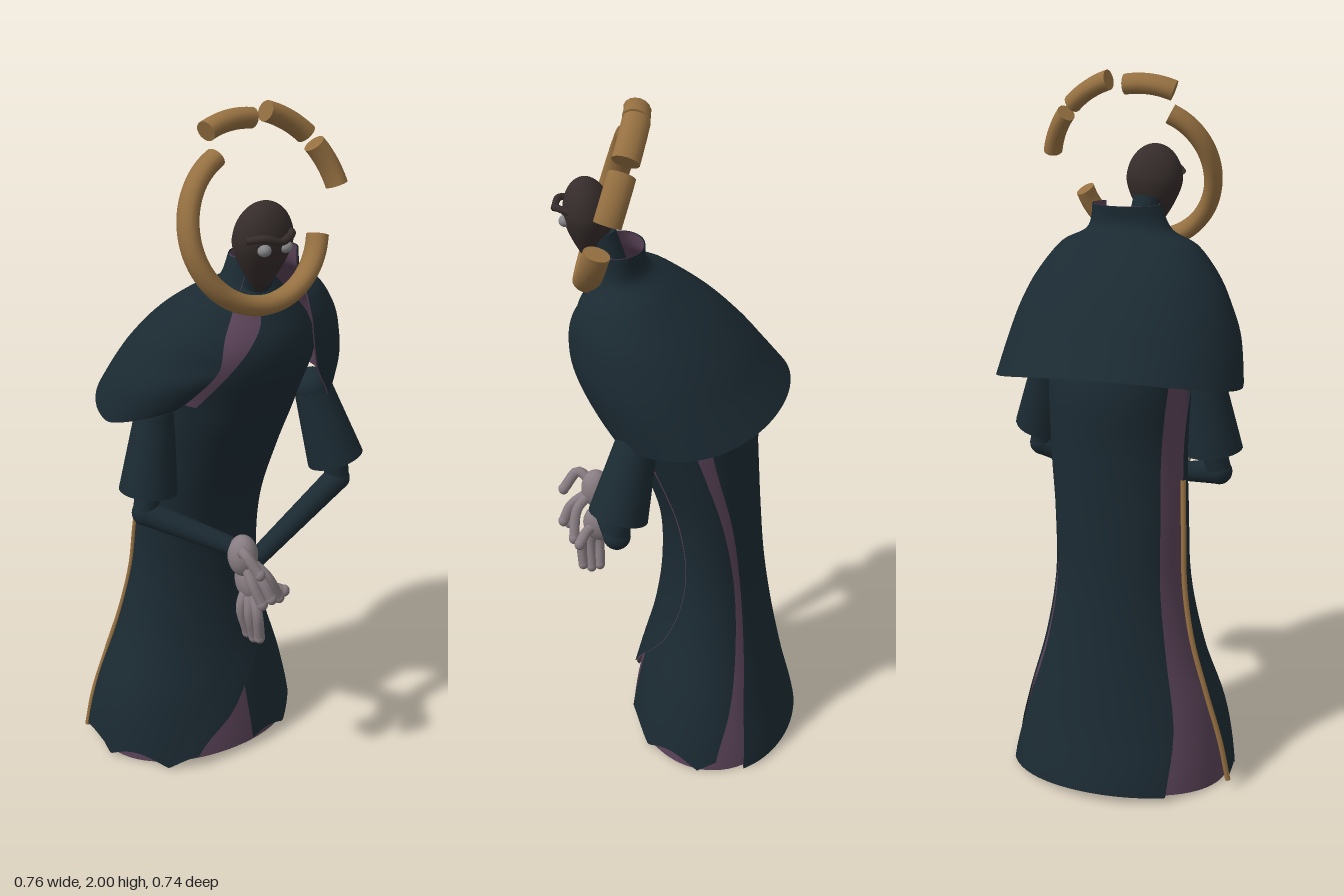
import * as THREE from 'three';

const mat = (name, color, side = THREE.DoubleSide) => {
  const m = new THREE.MeshStandardMaterial({ color, side });
  m.name = name;
  return m;
};
const V = (a) => new THREE.Vector3(...a);
const rad = THREE.MathUtils.degToRad;
const lerp = THREE.MathUtils.lerp;

// smooth interpolation through the rows of a small table
function sample(rows, t) {
  const n = rows.length - 1, i = Math.min(Math.max(Math.floor(t), 0), n - 1), f = t - i;
  const [a, b, c, d] = [i - 1, i, i + 1, i + 2].map((k) => rows[Math.min(Math.max(k, 0), n)]);
  return b.map((p1, k) => {
    const m1 = (c[k] - a[k]) / 2, m2 = (d[k] - p1) / 2, e = c[k] - p1;
    return p1 + f * (m1 + f * (3 * e - 2 * m1 - m2 + f * (m1 + m2 - 2 * e)));
  });
}

// robe, one row every 0.2 up: centre x, half width, front z, back z,
// then panel edges in degrees: front -x, back -x, front +x, back +x, overlap
const ROBE = [
  [-0.035, 0.332, 0.16, -0.372, -109, -147, 92, 111, -25],
  [-0.04, 0.297, 0.125, -0.325, -113, -141, 105, 116, 5],
  [-0.035, 0.235, 0.075, -0.285, -112, -137, 112, 120, 41],
  [-0.03, 0.197, 0.05, -0.255, -107, -135, 114, 121, 58],
  [-0.022, 0.193, 0.06, -0.238, -103, -133, 107, 117, 55],
  [-0.005, 0.195, 0.13, -0.225, -98, -129, 99, 111, 50],
  [0, 0.205, 0.225, -0.21, -92, -125, 93, 109, 50],
  [0, 0.205, 0.285, -0.1, -90, -120, 93, 109, 50],
  [0, 0.04, 0.2, 0.1, -90, -120, 93, 109, 50],
];
const robeRow = (y) => sample(ROBE, y / 0.2);
function robePoint(deg, y, scale) {
  const [cx, rx, zf, zb] = robeRow(y), a = rad(deg);
  return [cx + rx * scale * Math.sin(a), y, (zf + zb) / 2 + ((zf - zb) / 2) * scale * Math.cos(a)];
}
// the front panel lifts off the body along its two edges
const frontLift = (u, y) => 1.02 + 0.075 * Math.max(0, 1 - u * 4) * Math.max(0, 1 - y / 0.85)
  + 0.02 * Math.max(0, u * 6 - 5) * Math.max(0, 1 - y / 1.2);

// cape, from collar to hem: y at front, side, back; centre x, half width, front z, back z, -x edge, +x edge
const CAPE = [
  [1.63, 1.63, 1.63, 0.03, 0.1, 0.23, 0.09, -50, 50],
  [1.56, 1.56, 1.57, 0.02, 0.125, 0.235, 0.08, -48, 45],
  [1.5, 1.52, 1.52, 0.015, 0.2, 0.275, 0, -42, 28],
  [1.45, 1.44, 1.455, 0.01, 0.265, 0.3, -0.1, -38, 21],
  [1.38, 1.36, 1.37, 0.005, 0.305, 0.31, -0.19, -35, 20],
  [1.3, 1.27, 1.3, 0, 0.335, 0.3, -0.25, -36, 25],
  [1.17, 1.16, 1.23, 0, 0.355, 0.25, -0.31, -45, 47],
];
function capePoint(u, v) {
  const [yf, ys, yb, cx, rx, zf, zb, e0, e1] = sample(CAPE, (1 - v) * (CAPE.length - 1));
  const a = rad(lerp(e1, 360 + e0, u)), c = Math.cos(a);
  const rise = 0.08 * Math.max(0, (u - 0.84) / 0.16) * Math.max(0, 1 - v * 3);
  const y = ys + ((yf - yb) / 2) * c + ((yf + yb) / 2 - ys) * c * c + rise;
  return [cx + rx * Math.sin(a), y, (zf + zb) / 2 + ((zf - zb) / 2) * c];
}

export function createModel() {
  const model = new THREE.Group();
  model.name = 'robedFigure';
  const cloth = mat('darkCloth', 0x1b2a32);
  const lining = mat('purpleLining', 0x594257);
  const gold = mat('gold', 0x957041);
  const mask = mat('darkMask', 0x352c2b);
  const skin = mat('paleSkin', 0x887d82);
  const glass = mat('eyeGrey', 0x87878a);

  const add = (name, geo, material, parent = model) => {
    const m = new THREE.Mesh(geo, material);
    m.name = name;
    parent.add(m);
    return m;
  };
  const grid = (name, fn, nu, nv, material) => {
    const pos = [], idx = [], w = nu + 1;
    for (let j = 0; j <= nv; j++) for (let i = 0; i <= nu; i++) pos.push(...fn(i / nu, j / nv));
    for (let j = 0; j < nv; j++) for (let i = 0; i < nu; i++) {
      const a = j * w + i, b = a + 1, c = b + w, d = a + w;
      idx.push(a, b, c, a, c, d);
    }
    const g = new THREE.BufferGeometry();
    g.setAttribute('position', new THREE.Float32BufferAttribute(pos, 3));
    g.setIndex(idx);
    g.computeVertexNormals();
    add(name, g, material);
  };
  // cloth outside, with a lining set slightly in towards the axis at z = zc
  const sheet = (name, fn, nu, nv, zc) => {
    grid(name, fn, nu, nv, cloth);
    const inset = (u, v) => {
      const [x, y, z] = fn(u, v), k = 1 - 0.004 / Math.hypot(x, z - zc);
      return [x * k, y, zc + (z - zc) * k];
    };
    grid(name + 'Lining', inset, nu, nv, lining);
  };

  // robe panels
  const panel = (left, right, hem, top, scale) => (u, v) => {
    const y0 = lerp(0.02, top, v), row = robeRow(y0);
    const deg = lerp(left(row), right(row), u);
    return robePoint(deg, y0 + hem(deg) * Math.max(0, 1 - v * 6), scale(u, y0));
  };
  const ragged = (d) => 0.04 * Math.abs(Math.sin(rad(d * 4.5))) - 0.015;
  const even = (d) => 0.012 * Math.cos(rad(d * 2)) - 0.005;
  grid('robeInnerLayer', panel(() => -180, () => 180, even, 1.5, () => 0.96), 64, 40, lining);
  sheet('robeFrontPanel', panel((r) => r[4], (r) => r[8], ragged, 1.58, frontLift), 60, 48, -0.08);
  sheet('robeUnderPanel', panel(() => 11, (r) => r[6], ragged, 1.55, () => 0.99), 32, 40, -0.08);
  sheet('robeBackPanel', panel((r) => r[7], (r) => 360 + r[5], even, 1.4, () => 1.01), 40, 40, -0.08);

  // lapel along the chest
  grid('lapel', (u, v) => robePoint(lerp(-62, lerp(-54, -16, Math.min(1, v * 1.25)), u),
    lerp(1.22, 1.53, v), 1.035), 10, 16, lining);

  // gold piping down the side edge of the front panel
  const piping = [0.03, 0.15, 0.3, 0.45, 0.6, 0.75, 0.9]
    .map((y) => V(robePoint(robeRow(y)[4], y, frontLift(0, y))));
  add('goldPiping', new THREE.TubeGeometry(new THREE.CatmullRomCurve3(piping), 40, 0.008, 8), gold);

  // shoulder cape with standing collar
  sheet('cape', capePoint, 72, 40, 0.16);

  // tapered limb between two points
  const limb = (name, a, b, ra, rb, material) => {
    const p = V(a), q = V(b), d = q.clone().sub(p);
    const m = add(name, new THREE.CylinderGeometry(rb, ra, d.length(), 24), material);
    m.position.copy(p).lerp(q, 0.5);
    m.quaternion.setFromUnitVectors(new THREE.Vector3(0, 1, 0), d.normalize());
  };
  const ball = (name, p, s, material) => {
    const m = add(name, new THREE.SphereGeometry(1, 24, 16), material);
    m.position.set(...p);
    m.scale.set(...s);
  };

  // arms
  const arm = (side, shoulder, cuff, elbow, wrist) => {
    limb(side + 'Sleeve', shoulder, cuff, 0.055, 0.083, cloth);
    ball(side + 'Shoulder', shoulder, [0.056, 0.056, 0.056], cloth);
    limb(side + 'UpperArm', cuff, elbow, 0.036, 0.036, cloth);
    ball(side + 'Elbow', elbow, [0.038, 0.038, 0.038], cloth);
    limb(side + 'Forearm', elbow, wrist, 0.037, 0.027, cloth);
  };
  arm('left', [0.245, 1.17, 0.105], [0.295, 0.95, 0.16], [0.3, 0.885, 0.165], [-0.03, 0.745, 0.23]);
  arm('right', [-0.235, 1.17, 0.03], [-0.265, 0.95, 0.04], [-0.28, 0.885, 0.045], [-0.11, 0.81, 0.22]);

  // hands: palm plus curved fingers
  const hand = (side, palm, size, fingers) => {
    ball(side + 'Palm', palm, size, skin);
    fingers.forEach((pts, i) => {
      const curve = new THREE.CatmullRomCurve3([palm, ...pts].map(V));
      add(`${side}Finger${i + 1}`, new THREE.TubeGeometry(curve, 14, 0.016, 8), skin);
      ball(`${side}Fingertip${i + 1}`, pts[pts.length - 1], [0.016, 0.018, 0.016], skin);
    });
  };
  hand('left', [-0.055, 0.69, 0.24], [0.038, 0.062, 0.055], [
    [[-0.09, 0.62, 0.25], [-0.068, 0.525, 0.25]],
    [[-0.08, 0.61, 0.275], [-0.062, 0.52, 0.275]],
    [[-0.07, 0.62, 0.3], [-0.06, 0.53, 0.3]],
    [[-0.02, 0.68, 0.28], [0.022, 0.66, 0.3]],
  ]);
  hand('right', [-0.09, 0.79, 0.255], [0.042, 0.062, 0.045], [
    [[-0.12, 0.83, 0.31], [-0.1, 0.78, 0.355]],
    [[-0.075, 0.74, 0.33], [-0.06, 0.69, 0.355]],
    [[-0.05, 0.74, 0.31], [-0.01, 0.66, 0.32]],
    [[-0.095, 0.73, 0.31], [-0.08, 0.67, 0.34]],
  ]);

  // neck and masked head with a narrow chin
  limb('neck', [0, 1.48, 0.16], [-0.02, 1.64, 0.21], 0.046, 0.042, cloth);
  const headGeo = new THREE.SphereGeometry(1, 40, 28);
  const hp = headGeo.attributes.position;
  for (let i = 0; i < hp.count; i++) {
    const y = hp.getY(i), s = y < 0 ? 1 - 0.5 * Math.pow(-y, 1.3) : 1;
    hp.setXYZ(i, hp.getX(i) * s * 0.083, y * (y < 0 ? 0.14 : 0.102), hp.getZ(i) * s * 0.067 + y * 0.008);
  }
  headGeo.computeVertexNormals();
  add('maskedHead', headGeo, mask).position.set(-0.031, 1.69, 0.244);
  const brow = new THREE.CatmullRomCurve3([[-0.105, 1.71, 0.285], [-0.075, 1.72, 0.325], [-0.035, 1.708, 0.332],
    [0, 1.72, 0.325], [0.025, 1.715, 0.285]].map(V));
  add('browRidge', new THREE.TubeGeometry(brow, 24, 0.01, 8), mask);
  for (const x of [-0.065, -0.001]) ball('eye', [x, 1.683, 0.302], [0.018, 0.016, 0.018], glass);

  // broken tilted halo: radius, start and end angle, segments of each piece
  const halo = new THREE.Group();
  halo.name = 'halo';
  halo.position.set(-0.02, 1.71, 0.191);
  halo.rotation.x = -0.31;
  halo.scale.set(1, 1.04, 1.4);
  model.add(halo);
  const HALO = [[0.195, 115, 345, 72], [0.26, 81, 112, 12], [0.282, 45, 72, 12], [0.28, 13, 38, 12]];
  HALO.forEach(([r, a0, a1, n], k) => {
    const pts = [];
    for (let i = 0; i <= 24; i++) {
      const a = rad(lerp(a0, a1, i / 24));
      pts.push(new THREE.Vector3(r * Math.cos(a), r * Math.sin(a), 0));
    }
    const curve = new THREE.CatmullRomCurve3(pts);
    add('haloPiece' + (k + 1), new THREE.TubeGeometry(curve, n, 0.026, 16), gold, halo);
    for (const t of [0, 1]) {
      const cap = add('haloPieceEnd', new THREE.CircleGeometry(0.026, 16), gold, halo);
      cap.position.copy(curve.getPoint(t));
      cap.quaternion.setFromUnitVectors(new THREE.Vector3(0, 0, 1),
        curve.getTangent(t).multiplyScalar(t ? 1 : -1));
    }
  });
  return model;
}
